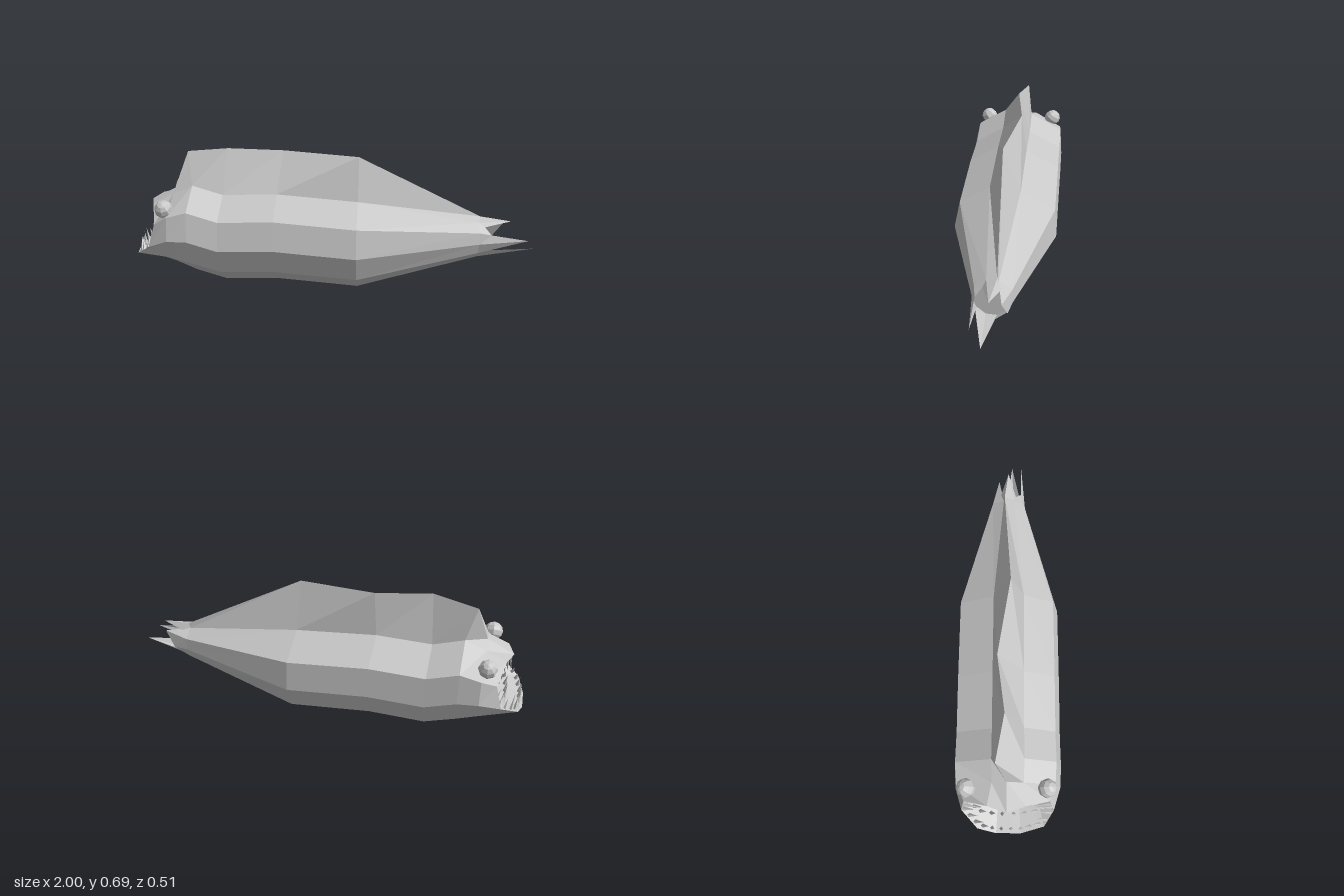
import * as THREE from 'three';

const skinMat = new THREE.MeshStandardMaterial({ color: 0xc8c8c8, flatShading: true, side: THREE.DoubleSide });
skinMat.name = 'pale grey';

// Cross-section of the body as [z, y]; index 6 is the back ridge
const section = [
  [0.09, 0.01], [-0.05, 0], [-0.18, 0.07], [-0.25, 0.2], [-0.24, 0.35], [-0.07, 0.44],
  [0, 0.67], [0.08, 0.46], [0.23, 0.37], [0.26, 0.23], [0.21, 0.1],
];
const N = section.length;

// One ring: scaled and lifted section with its own ridge point
function ring({ x, zs = 1, ys = 1, lift = 0, ridge }) {
  return section.map(([z, y], i) => (i === 6
    ? new THREE.Vector3(...ridge)
    : new THREE.Vector3(x, y * ys + lift, z * zs)));
}
const points = (list) => list.map((p) => new THREE.Vector3(...p));

// Join successive rings with quads
function skin(name, rings) {
  const pos = [];
  const add = (...vs) => vs.forEach((v) => pos.push(v.x, v.y, v.z));
  for (let r = 0; r < rings.length - 1; r++) {
    const A = rings[r], B = rings[r + 1];
    for (let i = 0; i < N; i++) {
      const j = (i + 1) % N;
      add(A[i], A[j], B[i]);
      add(A[j], B[j], B[i]);
    }
  }
  return finish(name, pos);
}

// Close a ring with a fan around its centre; flip turns it to face -x
function cap(name, loop, flip) {
  const c = new THREE.Vector3();
  loop.forEach((p) => c.addScaledVector(p, 1 / N));
  const pos = [];
  loop.forEach((p, i) => {
    const q = loop[(i + 1) % N];
    (flip ? [c, q, p] : [c, p, q]).forEach((v) => pos.push(v.x, v.y, v.z));
  });
  return finish(name, pos);
}

function finish(name, pos) {
  const g = new THREE.BufferGeometry();
  g.setAttribute('position', new THREE.Float32BufferAttribute(pos, 3));
  g.computeVertexNormals();
  const m = new THREE.Mesh(g, skinMat);
  m.name = name;
  return m;
}

export function createModel() {
  const model = new THREE.Group();
  model.name = 'eelCreature';

  // Mouth rim: long lower jaw, short upper lip
  const rim = points([
    [-1, 0.175, 0.07], [-1, 0.17, -0.05], [-0.98, 0.2, -0.14], [-0.9, 0.25, -0.215],
    [-0.87, 0.36, -0.2], [-0.9, 0.43, -0.09], [-0.93, 0.425, 0], [-0.9, 0.43, 0.09],
    [-0.87, 0.36, 0.2], [-0.9, 0.25, 0.225], [-0.97, 0.2, 0.18],
  ]);
  const tailRing = ring({ x: 0.72, zs: 0.35, ys: 0.4, lift: 0.165, ridge: [0.73, 0.365, -0.02] });
  // Ragged tail end with four spikes
  const tailEnd = points([
    [1, 0.215, 0.02], [0.78, 0.185, -0.01], [0.76, 0.21, -0.06], [0.8, 0.24, -0.07],
    [0.85, 0.32, -0.05], [0.76, 0.33, -0.04], [0.88, 0.35, 0], [0.75, 0.33, 0.04],
    [0.78, 0.3, 0.07], [0.96, 0.275, 0.07], [0.77, 0.22, 0.07],
  ]);

  model.add(skin('body', [
    rim,
    ring({ x: -0.8, zs: 0.98, ys: 0.8, lift: 0.11, ridge: [-0.8, 0.49, 0] }),
    ring({ x: -0.7, lift: 0.065, ridge: [-0.745, 0.665, -0.05] }),
    ring({ x: -0.55, lift: 0.02, ridge: [-0.53, 0.695, -0.01] }),
    ring({ x: -0.28, lift: 0.03, ridge: [-0.26, 0.68, -0.045] }),
    ring({ x: 0.12, ridge: [0.12, 0.67, 0.015] }),
    tailRing,
    tailEnd,
  ]));
  model.add(cap('tailHollow', tailRing, false));

  // Mouth lining
  const mid = new THREE.Vector3(-0.8, 0.31, 0);
  const throat = rim.map((p) => new THREE.Vector3(-0.82, mid.y + (p.y - mid.y) * 0.72, p.z * 0.8));
  model.add(skin('mouthLining', [throat, rim]));
  model.add(cap('throat', throat, true));

  // Two rows of teeth around the mouth, leaning inward
  const teeth = new THREE.Group();
  teeth.name = 'teeth';
  const up = new THREE.Vector3(0, 1, 0);
  const curve = new THREE.CatmullRomCurve3(rim, true, 'catmullrom', 0.1);
  const tooth = new THREE.ConeGeometry(0.01, 1, 4).translate(0, 0.5, 0);
  for (let row = 0; row < 2; row++) {
    const count = 26 - row * 6;
    for (let i = 0; i < count; i++) {
      const p = curve.getPointAt((i + row * 0.5) / count);
      const inner = new THREE.Vector3(-0.82, mid.y + (p.y - mid.y) * 0.72, p.z * 0.8);
      const base = p.clone().lerp(inner, 0.12 + row * 0.38);
      const dir = new THREE.Vector3(-0.015, mid.y - base.y, -base.z * 0.45).normalize();
      const m = new THREE.Mesh(tooth, skinMat);
      m.name = 'tooth';
      m.position.copy(base);
      m.quaternion.setFromUnitVectors(up, dir);
      m.scale.set(1, 0.06 + 0.02 * ((i * 7) % 3) / 2, 1);
      teeth.add(m);
    }
  }
  model.add(teeth);

  // Bulging eyes
  for (const s of [1, -1]) {
    const eye = new THREE.Mesh(new THREE.SphereGeometry(0.045, 8, 6), skinMat);
    eye.name = s > 0 ? 'frontEye' : 'backEye';
    eye.position.set(-0.82, 0.437, s * 0.187);
    eye.rotation.x = s * 0.6;
    model.add(eye);
  }
  return model;
}
